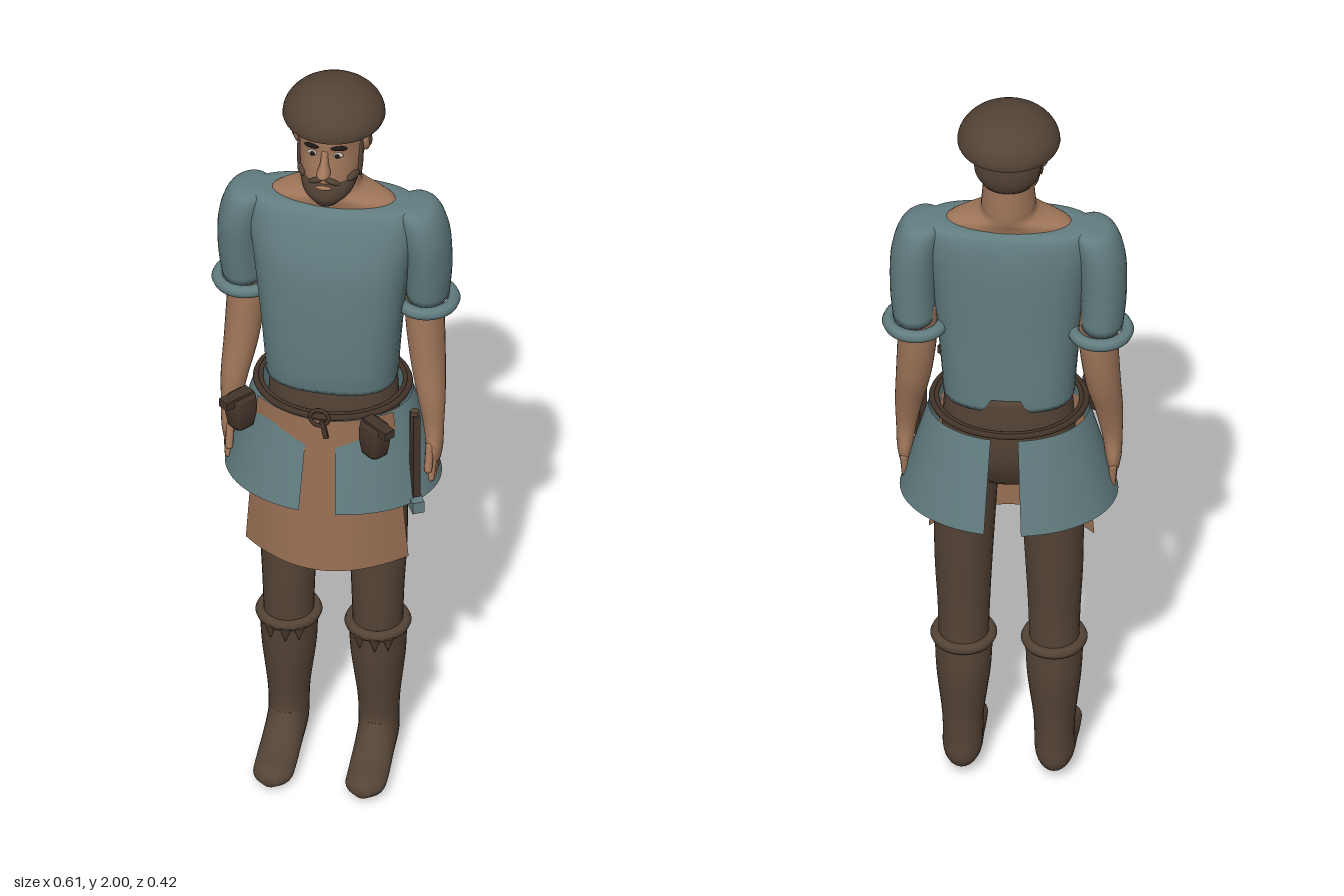
import * as THREE from 'three';

const mat = (name, color, side = THREE.FrontSide) => {
  const m = new THREE.MeshStandardMaterial({ color, side });
  m.name = name;
  return m;
};

// Smooth body through oval sections [x, y, z, halfWidth, halfDepth, tilt], listed from top to bottom
function loft(sections, { power = 2, seg = 28, steps = 5 } = {}) {
  const mids = new THREE.CatmullRomCurve3(sections.map(s => new THREE.Vector3(s[0], s[1], s[2])), false, 'catmullrom');
  const sizes = new THREE.CatmullRomCurve3(sections.map(s => new THREE.Vector3(s[3], s[4], s[5] || 0)), false, 'catmullrom');
  const n = (sections.length - 1) * steps, pos = [], idx = [];
  const bend = v => Math.sign(v) * Math.pow(Math.abs(v), 2 / power);
  for (let i = 0; i <= n; i++) {
    const c = mids.getPoint(i / n), r = sizes.getPoint(i / n);
    for (let j = 0; j < seg; j++) {
      const a = j / seg * Math.PI * 2, u = bend(Math.cos(a)) * r.x, v = bend(Math.sin(a)) * r.y;
      pos.push(c.x + u, c.y + v * Math.sin(r.z), c.z + v * Math.cos(r.z));
    }
  }
  const top = pos.length / 3, first = sections[0], last = sections[sections.length - 1];
  pos.push(first[0], first[1], first[2], last[0], last[1], last[2]);
  for (let j = 0; j < seg; j++) {
    const k = (j + 1) % seg;
    for (let i = 0; i < n; i++) {
      const a = i * seg + j, b = i * seg + k;
      idx.push(a, b, a + seg, b, b + seg, a + seg);
    }
    idx.push(top, k, j, top + 1, n * seg + j, n * seg + k);
  }
  return finish(pos, idx);
}

// Open cloth sheet from a rule of (u, v) in 0..1
function sheet(rule, nu = 28, nv = 10) {
  const pos = [], idx = [];
  for (let i = 0; i <= nv; i++) for (let j = 0; j <= nu; j++) pos.push(...rule(j / nu, i / nv));
  for (let i = 0; i < nv; i++) for (let j = 0; j < nu; j++) {
    const a = i * (nu + 1) + j, b = a + nu + 1;
    idx.push(a, b, a + 1, a + 1, b, b + 1);
  }
  return finish(pos, idx);
}

function finish(pos, idx) {
  const g = new THREE.BufferGeometry();
  g.setAttribute('position', new THREE.Float32BufferAttribute(pos, 3));
  g.setIndex(idx);
  g.computeVertexNormals();
  return g;
}

const ring = (rx, rz, r) => {
  const pts = [];
  for (let i = 0; i < 24; i++) pts.push(new THREE.Vector3(Math.cos(i * Math.PI / 12) * rx, 0, Math.sin(i * Math.PI / 12) * rz));
  return new THREE.TubeGeometry(new THREE.CatmullRomCurve3(pts, true), 56, r, 8, true);
};
const ball = (x, y, z) => new THREE.SphereGeometry(1, 18, 12).scale(x, y, z);
const mix = THREE.MathUtils.lerp;

export function createModel() {
  const model = new THREE.Group();
  model.name = 'villager';
  const brown = mat('brown', 0x544336), skin = mat('skin', 0xa0765a), leather = mat('darkLeather', 0x43342a);
  const teal = mat('teal', 0x627d80), cloth = mat('tealCloth', 0x627d80, THREE.DoubleSide);
  const apronMat = mat('apronTan', 0x9a7054, THREE.DoubleSide), white = mat('eyeWhite', 0xb8b0a6), dark = mat('black', 0x1d1814);
  const add = (name, geo, material, p = [0, 0, 0], r = [0, 0, 0], parent = model) => {
    const m = new THREE.Mesh(geo, material);
    m.name = name;
    m.position.set(...p);
    m.rotation.set(...r);
    parent.add(m);
    return m;
  };

  // Hat
  const dome = [];
  for (let i = 0; i <= 12; i++) {
    const a = i / 12 * Math.PI / 2;
    dome.push(new THREE.Vector2(Math.cos(a) * 0.125, 1.912 + Math.sin(a) * 0.088));
  }
  dome.unshift(new THREE.Vector2(0.122, 1.904));
  add('hat', new THREE.LatheGeometry(dome, 40), brown, [0, 0, -0.012]);
  add('hatUnderside', new THREE.CircleGeometry(0.122, 40), brown, [0, 1.905, -0.012], [Math.PI / 2, 0, 0]);

  // Head, hair and beard
  add('head', loft([[0, 1.95, 0, 0.05, 0.06], [0, 1.91, 0, 0.077, 0.1], [0, 1.86, 0, 0.08, 0.102], [0, 1.8, 0.015, 0.076, 0.096],
    [0, 1.75, 0.045, 0.064, 0.067], [0, 1.728, 0.065, 0.035, 0.035]]), skin);
  add('hair', loft([[0, 1.93, -0.04, 0.07, 0.06], [0, 1.89, -0.045, 0.082, 0.062], [0, 1.84, -0.045, 0.079, 0.059], [0, 1.805, -0.04, 0.06, 0.05]]), brown);
  add('beard', loft([[0, 1.785, 0.045, 0.068, 0.071], [0, 1.765, 0.047, 0.069, 0.075], [0, 1.74, 0.06, 0.058, 0.062], [0, 1.715, 0.075, 0.03, 0.034]]), brown);
  add('nose', loft([[0, 1.875, 0.095, 0.008, 0.009], [0, 1.845, 0.107, 0.01, 0.016], [0, 1.82, 0.117, 0.017, 0.026], [0, 1.808, 0.11, 0.012, 0.014]]), skin);
  add('lips', ball(0.02, 0.006, 0.008), skin, [0, 1.776, 0.115]);
  for (const s of [1, -1]) {
    add('ear', ball(0.012, 0.032, 0.02), skin, [s * 0.084, 1.858, 0.008], [0.2, 0, 0]);
    add('earHollow', ball(0.005, 0.018, 0.01), brown, [s * 0.094, 1.86, 0.01], [0.2, 0, 0]);
    add('eye', ball(0.014, 0.007, 0.007), white, [s * 0.031, 1.864, 0.094]);
    add('pupil', ball(0.006, 0.006, 0.004), dark, [s * 0.031, 1.864, 0.1]);
    add('brow', ball(0.021, 0.006, 0.007), dark, [s * 0.034, 1.884, 0.094], [0, s * 0.35, -s * 0.1]);
    add('moustache', ball(0.023, 0.007, 0.009), brown, [s * 0.019, 1.793, 0.109], [0, s * 0.3, -s * 0.5]);
    add('sideburn', ball(0.007, 0.055, 0.013), brown, [s * 0.075, 1.825, 0.033], [-0.15, 0, 0]);
    add('cheekBeard', ball(0.008, 0.012, 0.022), brown, [s * 0.064, 1.79, 0.07], [0, -s * 0.5, 0]);
  }

  // Neck and bare shoulders
  add('neck', loft([[0, 1.82, -0.02, 0.06, 0.068], [0, 1.74, -0.018, 0.066, 0.07], [0, 1.705, -0.012, 0.075, 0.073],
    [0, 1.68, -0.01, 0.14, 0.066], [0, 1.655, -0.01, 0.17, 0.062]]), skin);

  // Tunic body
  add('tunic', loft([[0, 1.672, -0.01, 0.165, 0.062], [0, 1.66, -0.01, 0.205, 0.082], [0, 1.6, -0.004, 0.208, 0.101], [0, 1.5, 0.006, 0.192, 0.116],
    [0, 1.35, 0.01, 0.175, 0.12], [0, 1.22, 0.008, 0.164, 0.12], [0, 1.155, 0.004, 0.16, 0.115]], { power: 2.6, seg: 40 }), teal);

  // Trousers: hips
  add('hips', loft([[0, 1.19, -0.01, 0.152, 0.104], [0, 1.08, -0.01, 0.16, 0.108], [0, 0.98, -0.005, 0.158, 0.1], [0, 0.9, -0.005, 0.1, 0.06]]), brown);

  for (const s of [1, -1]) {
    // Sleeve with rolled cuff
    add('sleeve', loft([[s * 0.19, 1.668, -0.015, 0.025, 0.035], [s * 0.207, 1.652, -0.015, 0.052, 0.068], [s * 0.226, 1.58, -0.018, 0.058, 0.08],
      [s * 0.232, 1.48, -0.025, 0.056, 0.074], [s * 0.228, 1.385, -0.034, 0.052, 0.066]]), teal);
    add('cuff', ring(0.066, 0.067, 0.016), teal, [s * 0.224, 1.367, -0.036]);
    // Arm and hand
    add('arm', loft([[s * 0.222, 1.42, -0.034, 0.046, 0.052], [s * 0.22, 1.33, -0.034, 0.048, 0.055], [s * 0.23, 1.2, -0.022, 0.043, 0.049],
      [s * 0.243, 1.1, -0.002, 0.034, 0.038], [s * 0.25, 1.02, 0.006, 0.025, 0.029], [s * 0.253, 0.96, 0.008, 0.02, 0.038], [s * 0.253, 0.925, 0.008, 0.015, 0.034]]), skin);
    for (let i = 0; i < 4; i++)
      add('finger', new THREE.CapsuleGeometry(0.0095, 0.055, 4, 8), skin, [s * 0.252, 0.91 - (i === 1 || i === 2 ? 0.008 : 0), -0.02 + i * 0.019], [-0.1 - i * 0.03, 0, -s * 0.08]);
    add('thumb', new THREE.CapsuleGeometry(0.01, 0.06, 4, 8), skin, [s * 0.246, 0.945, 0.046], [-0.3, 0, 0]);

    // Leg
    add('leg', loft([[s * 0.09, 1.02, -0.008, 0.07, 0.085], [s * 0.104, 0.85, -0.01, 0.076, 0.08], [s * 0.11, 0.65, -0.008, 0.071, 0.071],
      [s * 0.11, 0.5, -0.004, 0.064, 0.066], [s * 0.11, 0.37, -0.005, 0.06, 0.066]]), brown);
    // Boot with turned-down cuff
    add('boot', loft([[s * 0.11, 0.4, -0.005, 0.071, 0.075], [s * 0.11, 0.3, -0.01, 0.066, 0.073], [s * 0.111, 0.18, -0.012, 0.052, 0.06],
      [s * 0.111, 0.115, -0.012, 0.049, 0.06, 0.25], [s * 0.112, 0.077, -0.004, 0.049, 0.073, 0.72], [s * 0.113, 0.055, 0.06, 0.049, 0.045, 1.25],
      [s * 0.114, 0.036, 0.13, 0.05, 0.033, 1.5], [s * 0.114, 0.03, 0.18, 0.046, 0.027, 1.57], [s * 0.114, 0.027, 0.21, 0.018, 0.012, 1.57]]), brown);
    add('bootCuff', ring(0.067, 0.071, 0.014), brown, [s * 0.11, 0.4, -0.005]);
    for (const a of [-0.5, 0.1, 0.6])
      add('cuffPoint', new THREE.ConeGeometry(0.016, 0.045, 8), brown, [s * 0.11 + Math.sin(a) * 0.067, 0.375, Math.cos(a) * 0.07], [Math.PI, 0, 0]);

    // Half of the flared tunic skirt, open at the front and back
    add('skirtPanel', sheet((u, v) => {
      const a = s * mix(0.17, Math.PI - 0.17, u), flare = Math.pow(v, 0.95);
      return [mix(0.195, 0.265, flare) * Math.sin(a), mix(1.1, 0.853, v), -0.005 + mix(0.148, 0.205, flare) * Math.cos(a)];
    }, 40), cloth);
  }

  // Apron
  add('apron', sheet((u, v) => {
    const k = u * 2 - 1;
    return [k * mix(0.168, 0.201, v), mix(1.105, 0.66, v), mix(0.16, 0.171, v) - mix(0.07, 0.1, v) * k * k];
  }), apronMat);

  // Belt and buckle
  add('belt', ring(0.187, 0.16, 0.008), leather, [0, 1.118, 0.002]);
  add('beltEdge', ring(0.176, 0.153, 0.006), leather, [0, 1.122, 0]);
  add('buckle', new THREE.TorusGeometry(0.023, 0.005, 8, 20), leather, [0, 1.118, 0.167]);
  add('beltEnd', new THREE.BoxGeometry(0.012, 0.05, 0.008), leather, [0.012, 1.085, 0.168], [0, 0, 0.2]);

  // Belt pouches
  const pouch = (x, z, turn) => {
    const g = new THREE.Group();
    g.name = 'pouch';
    g.position.set(x, 1.075, z);
    g.rotation.y = turn;
    model.add(g);
    add('pouchBag', loft([[0, 0.04, 0, 0.026, 0.033], [0, 0, 0, 0.03, 0.035], [0, -0.045, 0, 0.025, 0.028]], { power: 4 }), leather, [0, 0, 0], [0, 0, 0], g);
    add('pouchFlap', new THREE.BoxGeometry(0.03, 0.022, 0.085), leather, [0, 0.037, 0.015], [0, 0, 0], g);
  };
  pouch(-0.205, 0.11, -0.67);
  pouch(0.135, 0.16, 0.9);

  // Sheathed knife
  const knife = new THREE.Group();
  knife.name = 'knife';
  knife.position.set(0.222, 0, 0.095);
  knife.rotation.y = 0.5;
  model.add(knife);
  add('sheath', new THREE.BoxGeometry(0.018, 0.24, 0.03), leather, [0, 0.99, 0], [0, 0, 0], knife);
  add('knifeHandle', new THREE.CylinderGeometry(0.011, 0.011, 0.06, 10), brown, [0, 1.09, 0], [0, 0, 0], knife);
  add('sheathTip', new THREE.BoxGeometry(0.03, 0.032, 0.06), teal, [0, 0.847, 0], [0, 0, 0], knife);

  return model;
}
